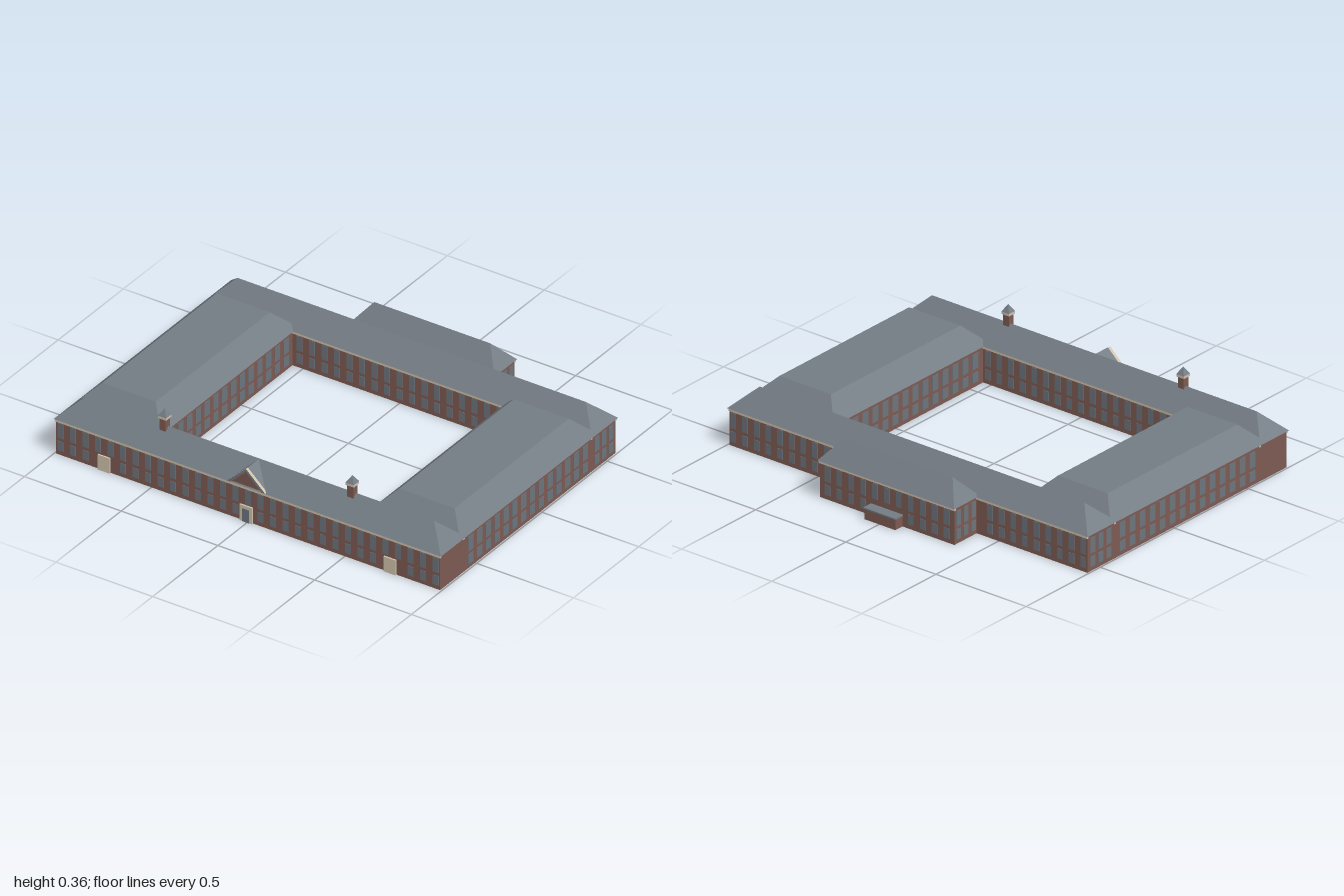
import * as THREE from 'three';
import { mergeGeometries } from 'three/addons/utils/BufferGeometryUtils.js';

const mat = (name, color, side = THREE.FrontSide) => {
  const m = new THREE.MeshStandardMaterial({ color, side });
  m.name = name;
  return m;
};

export function createModel() {
  const model = new THREE.Group();
  model.name = 'courtyardBuilding';
  const brick = mat('brick', 0x7d5a53);
  const slate = mat('slate', 0x747c84, THREE.DoubleSide);
  const glass = mat('glass', 0x6c757d);
  const cream = mat('creamStone', 0xcfc2ac);

  const add = (name, geo, material) => {
    const mesh = new THREE.Mesh(geo, material);
    mesh.name = name;
    model.add(mesh);
    return mesh;
  };
  // box given by its limits on each axis
  const boxGeo = (x0, x1, y0, y1, z0, z1) =>
    new THREE.BoxGeometry(x1 - x0, y1 - y0, z1 - z0)
      .translate((x0 + x1) / 2, (y0 + y1) / 2, (z0 + z1) / 2);
  const box = (name, material, ...limits) => add(name, boxGeo(...limits), material);

  // hipped roof, open below: eaves rectangle rising to an inset ridge or flat top
  const hipRoof = (name, x0, x1, z0, z1, inX, inZ, y0, y1) => {
    const low = [[x0, y0, z1], [x1, y0, z1], [x1, y0, z0], [x0, y0, z0]];
    const a = x0 + inX, b = x1 - inX, c = z0 + inZ, d = Math.max(z1 - inZ, c);
    const top = [[a, y1, d], [b, y1, d], [b, y1, c], [a, y1, c]];
    const pts = [];
    const quad = (p, q, r, s) => pts.push(...p, ...q, ...r, ...p, ...r, ...s);
    for (let i = 0; i < 4; i++) {
      const j = (i + 1) % 4;
      quad(low[i], low[j], top[j], top[i]);
    }
    if (d > c) quad(...top);
    const g = new THREE.BufferGeometry();
    g.setAttribute('position', new THREE.Float32BufferAttribute(pts, 3));
    g.computeVertexNormals();
    add(name, g, slate);
  };

  // two rows of window plates on a wall; axis is the direction the row runs in
  const rows = [[0.02, 0.068], [0.084, 0.157]];
  const windows = (name, axis, wall, centres, width, skipLow = () => false) => {
    const parts = [];
    for (const c of centres) rows.forEach(([y0, y1], r) => {
      if (r === 0 && skipLow(c)) return;
      const a = c - width / 2, b = c + width / 2, t = 0.002;
      parts.push(axis === 'x' ? boxGeo(a, b, y0, y1, wall - t, wall + t)
        : boxGeo(wall - t, wall + t, y0, y1, a, b));
    });
    add(name, mergeGeometries(parts), glass);
  };
  const spread = (n, from, to) =>
    Array.from({ length: n }, (_, i) => from + (to - from) * i / (n - 1));

  // front and rear wings
  const H = 0.172, EAVE = 0.175;
  const long = spread(31, -0.97, 0.97);
  box('frontWing', brick, -0.992, 0.992, 0, H, 0.588, 0.768);
  box('rearWing', brick, -0.992, 0.992, 0, H, -0.577, -0.392);
  hipRoof('frontRoof', -1, 1, 0.58, 0.775, 0.1, 0.0975, EAVE, 0.272);
  hipRoof('rearRoof', -1, 1, -0.585, -0.385, 0.1, 0.1, EAVE, 0.272);
  const doors = [-0.742, -0.007, 0.735];
  windows('frontWindows', 'x', 0.768, long, 0.03, c => doors.some(d => Math.abs(c - d) < 0.047));
  windows('frontCourtWindows', 'x', 0.588, long, 0.03);
  windows('rearCourtWindows', 'x', -0.392, long, 0.03);
  windows('rearWindows', 'x', -0.577, long.filter(c => Math.abs(c) > 0.4), 0.03);

  // stone cornices below the long eaves
  for (const z of [0.768, 0.588, -0.392, -0.577])
    box('cornice', cream, -0.995, 0.995, 0.163, 0.176, z - 0.005, z + 0.005);

  // hollow side wings: outer and courtyard walls under a flat-topped roof
  const sideRow = spread(14, 0.534, -0.342);
  for (const s of [1, -1]) {
    const inner = s > 0 ? 0.543 : -0.553;
    for (const [name, x] of [['outerWall', s * 0.988], ['courtWall', inner + s * 0.004]])
      box(name, brick, x - 0.004, x + 0.004, 0, 0.18, -0.392, 0.588);
    windows('sideWindows', 'z', s * 0.992, sideRow, 0.04);
    windows('sideCourtWindows', 'z', inner, sideRow, 0.04);
    windows('rearEndWindows', 'z', s * 0.992, [-0.432, -0.487, -0.54], 0.034);
    hipRoof('sideRoof', s > 0 ? 0.535 : -1, s > 0 ? 1 : -0.545, -0.43, 0.625, 0.09, 0.09, EAVE, 0.265);
  }

  // rear annex with low porch
  box('annex', brick, -0.378, 0.368, 0, H, -0.727, -0.57);
  hipRoof('annexRoof', -0.385, 0.375, -0.737, -0.563, 0.08, 0.087, EAVE, 0.272);
  windows('annexWindows', 'x', -0.727, spread(11, -0.335, 0.325), 0.03, c => Math.abs(c) < 0.1);
  for (const x of [-0.378, 0.368])
    windows('annexSideWindows', 'z', x, [-0.6, -0.65, -0.7], 0.03);
  box('annexCornice', cream, -0.382, 0.372, 0.163, 0.176, -0.732, -0.722);
  box('porch', brick, -0.09, 0.08, 0, 0.05, -0.775, -0.72);
  box('porchRoof', slate, -0.094, 0.084, 0.05, 0.057, -0.78, -0.72);

  // front doors
  for (const x of [doors[0], doors[2]])
    box('sideDoor', cream, x - 0.031, x + 0.031, 0, 0.075, 0.766, 0.776);
  box('doorSurround', cream, -0.04, 0.026, 0, 0.08, 0.766, 0.776);
  box('mainDoor', glass, -0.024, 0.01, 0, 0.065, 0.77, 0.778);

  // front gable: brick face, rake trim and a roof running back to the ridge
  const tri = (w, y0, y1) => new THREE.Shape([
    new THREE.Vector2(-w, y0), new THREE.Vector2(w, y0), new THREE.Vector2(0, y1)]);
  const extrude = (shape, depth, z) =>
    new THREE.ExtrudeGeometry(shape, { depth, bevelEnabled: false }).translate(-0.005, 0, z);
  add('gableFace', extrude(tri(0.09, 0.178, 0.259), 0.09, 0.68), brick);
  const rake = new THREE.Shape([[-0.1, 0.178], [-0.08, 0.178], [0, 0.255], [0.08, 0.178],
    [0.1, 0.178], [0, 0.27]].map(p => new THREE.Vector2(...p)));
  add('gableRake', extrude(rake, 0.015, 0.763), [slate, cream]);
  add('gableRoof', extrude(rake, 0.085, 0.678), slate);

  // roof turrets
  for (const x of [-0.49, 0.48]) {
    box('turretShaft', brick, x - 0.016, x + 0.016, 0.24, 0.312, 0.665, 0.697);
    box('turretBand', cream, x - 0.021, x + 0.021, 0.312, 0.324, 0.66, 0.702);
    const cap = new THREE.ConeGeometry(0.03, 0.034, 4).toNonIndexed();
    cap.computeVertexNormals();
    add('turretCap', cap.rotateY(Math.PI / 4).translate(x, 0.341, 0.681), slate);
  }
  return model;
}
